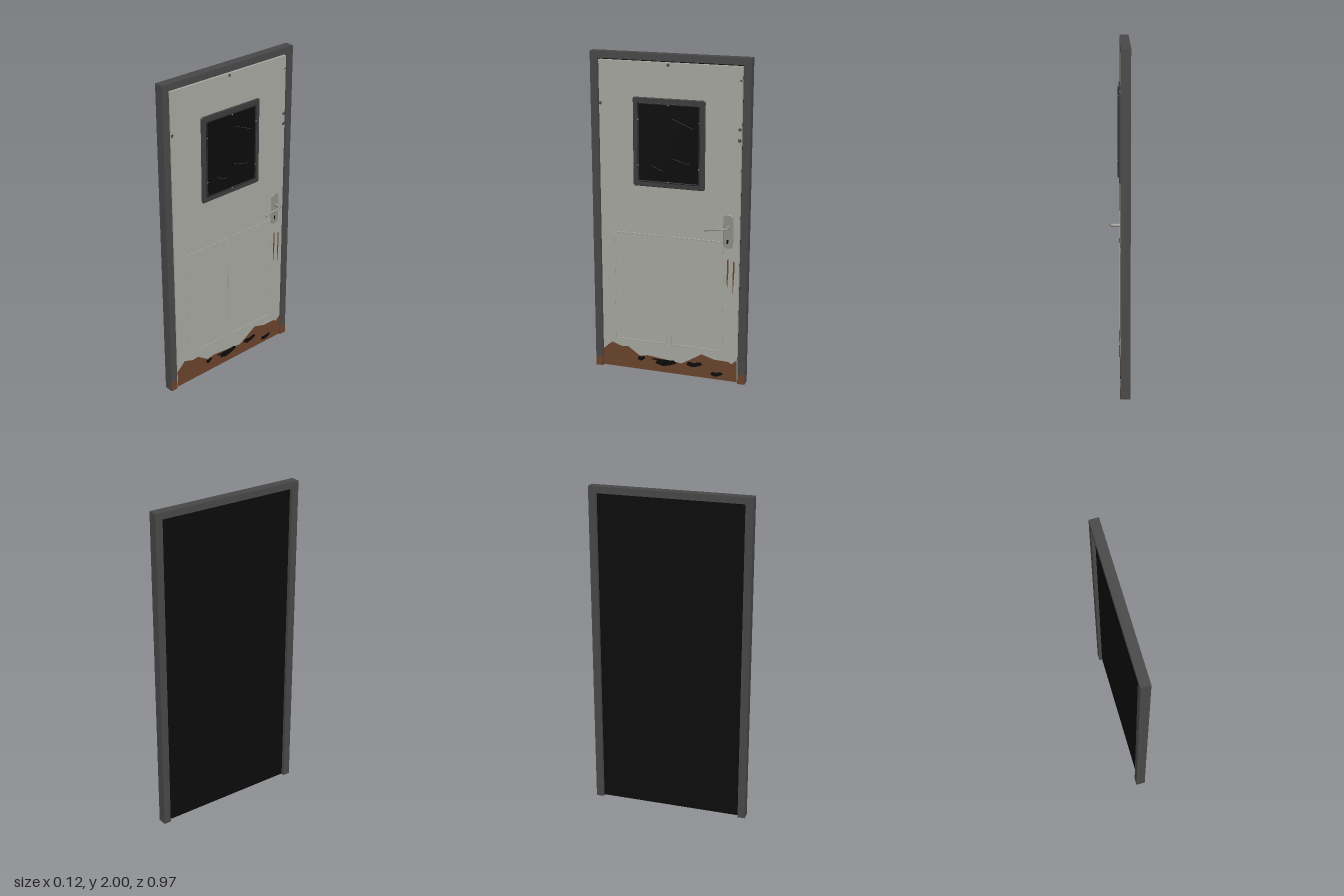
import * as THREE from 'three';

const mat = (name, color) => Object.assign(new THREE.MeshStandardMaterial({ color }), { name });
const M = {
  frame: mat('frame grey', 0x474747),
  leaf: mat('door paint', 0xa5a69f),
  black: mat('black backing', 0x0b0b0b),
  trim: mat('window trim', 0x3c3c3c),
  bead: mat('dark bead', 0x262628),
  rust: mat('rust', 0x69432b),
  metal: mat('handle metal', 0x8e8e88),
  chip: mat('chipped paint', 0x4b4b4b),
};

// Parts are drawn on the door plane: u to the right, y up, d outwards.
export function createModel() {
  const model = new THREE.Group();
  model.name = 'door';
  const door = new THREE.Group();
  door.name = 'doorAssembly';
  door.rotation.y = Math.PI / 2;
  model.add(door);

  const add = (name, geo, material) => {
    const mesh = new THREE.Mesh(geo, material);
    mesh.name = name;
    door.add(mesh);
    return mesh;
  };
  const box = (name, u0, u1, y0, y1, d0, d1, material) =>
    add(name, new THREE.BoxGeometry(u1 - u0, y1 - y0, d1 - d0)
      .translate((u0 + u1) / 2, (y0 + y1) / 2, (d0 + d1) / 2), material);
  const poly = (pts) => new THREE.Shape(pts.map(([u, y]) => new THREE.Vector2(u, y)));
  const slab = (name, shape, d0, d1, material, bevel = 0) =>
    add(name, new THREE.ExtrudeGeometry(shape, {
      depth: d1 - d0 - bevel, curveSegments: 6, bevelEnabled: bevel > 0,
      bevelThickness: bevel, bevelSize: bevel, bevelOffset: -bevel, bevelSegments: 1,
    }).translate(0, 0, d0), material);
  const roundRect = (u0, u1, y0, y1, r, Type = THREE.Shape) => {
    const s = new Type();
    s.moveTo(u0 + r, y0).lineTo(u1 - r, y0);
    s.absarc(u1 - r, y0 + r, r, -Math.PI / 2, 0);
    s.absarc(u1 - r, y1 - r, r, 0, Math.PI / 2);
    s.absarc(u0 + r, y1 - r, r, Math.PI / 2, Math.PI);
    s.absarc(u0 + r, y0 + r, r, Math.PI, Math.PI * 1.5);
    return s;
  };
  const ring = (name, w, y0, y1, t, r, d0, d1, material, bevel, u = 0) => {
    const s = roundRect(u - w, u + w, y0, y1, r);
    s.holes.push(roundRect(u - w + t, u + w - t, y0 + t, y1 - t, r * 0.3, THREE.Path));
    return slab(name, s, d0, d1, material, bevel);
  };
  // Thin strip between two points
  const strip = (name, [ua, ya], [ub, yb], width, d, material) => {
    const m = add(name, new THREE.BoxGeometry(Math.hypot(ub - ua, yb - ya), width, 0.001), material);
    m.position.set((ua + ub) / 2, (ya + yb) / 2, d);
    m.rotation.z = Math.atan2(yb - ya, ub - ua);
  };

  // Surround, black backing and leaf
  slab('doorFrame', poly([[-0.485, 0], [-0.44, 0], [-0.44, 1.96], [0.44, 1.96],
    [0.44, 0], [0.485, 0], [0.485, 2], [-0.485, 2]]), -0.062, -0.005, M.frame);
  box('backing', -0.44, 0.44, 0.002, 1.96, -0.042, -0.032, M.black);
  box('doorLeaf', -0.433, 0.433, 0.01, 1.951, -0.032, -0.007, M.leaf);

  // Faint panel mouldings
  for (const side of [-1, 1])
    ring('panelMoulding', 0.165, 0.2, 0.91, 0.008, 0.002, -0.007, -0.005, M.leaf, 0.001, side * 0.183);

  // Window: outer trim, raised bead and dark glass
  ring('windowTrim', 0.22, 1.21, 1.745, 0.033, 0.012, -0.007, 0.002, M.trim, 0.003);
  ring('windowBead', 0.19, 1.24, 1.715, 0.008, 0.003, -0.006, 0.009, M.bead, 0.002);
  box('windowGlass', -0.184, 0.184, 1.246, 1.709, -0.006, 0.004, M.black);
  for (const [a, b] of [[[0.02, 1.63], [0.15, 1.575]], [[0.02, 1.392], [0.13, 1.363]],
    [[-0.11, 1.345], [-0.04, 1.313]]]) strip('glassScratch', a, b, 0.002, 0.0045, M.chip);
  const screws = [[0, 1.248], [0, 1.707]];
  for (const s of [-1, 1]) screws.push([s * 0.186, 1.34], [s * 0.186, 1.615]);
  for (const [u, y] of screws)
    add('beadScrew', new THREE.CylinderGeometry(0.004, 0.004, 0.002, 8)
      .rotateX(Math.PI / 2).translate(u, y, 0.0095), M.metal);

  // Handle plate, keyhole and bent lever
  slab('handlePlate', roundRect(0.335, 0.397, 0.87, 1.08, 0.03), -0.007, -0.002, M.metal, 0.003);
  box('keyhole', 0.358, 0.368, 0.9, 0.925, -0.003, -0.001, M.black);
  add('handleNeck', new THREE.CylinderGeometry(0.009, 0.011, 0.048, 12)
    .rotateX(Math.PI / 2).translate(0.366, 1.002, 0.02), M.metal);
  const path = new THREE.CatmullRomCurve3([[0.366, 1.002, 0.036], [0.36, 1.002, 0.044],
    [0.34, 1.001, 0.051], [0.325, 1, 0.053], [0.28, 0.996, 0.053], [0.24, 0.99, 0.053]]
    .map((p) => new THREE.Vector3(...p)));
  add('handleLever', new THREE.TubeGeometry(path, 24, 0.0075, 10), M.metal);
  add('leverTip', new THREE.SphereGeometry(0.0075, 10, 8).translate(0.24, 0.99, 0.053), M.metal);

  // Rust along the foot of the leaf and posts
  slab('leafRust', poly([[-0.433, 0.01], [0.433, 0.01], [0.433, 0.155], [0.4, 0.125],
    [0.38, 0.138], [0.29, 0.14], [0.21, 0.165], [0.14, 0.12], [0.08, 0.085], [0.02, 0.093],
    [-0.09, 0.105], [-0.14, 0.11], [-0.19, 0.1], [-0.27, 0.155], [-0.31, 0.15],
    [-0.375, 0.172], [-0.433, 0.12]]), -0.007, -0.0055, M.rust);
  for (const s of [-1, 1]) {
    const pts = [[0.44, 0], [0.485, 0], [0.485, 0.062], [0.465, 0.07], [0.44, 0.05]]
      .map(([u, y]) => [u * s, y]);
    slab('postRust', poly(pts), -0.005, -0.004, M.rust);
  }
  for (const [u, y0, y1] of [[0.366, 0.6, 0.8], [0.402, 0.59, 0.79]])
    slab('rustStreak', poly([[u - 0.002, y0], [u + 0.005, y0 + 0.13], [u + 0.004, y1],
      [u - 0.003, y1], [u - 0.005, y0 + 0.08]]), -0.007, -0.0055, M.rust);

  // Holes rusted through the foot: centre, half width, half height
  for (const [u, y, w, h] of [[-0.18, 0.085, 0.024, 0.018], [-0.02, 0.075, 0.07, 0.024],
    [0.165, 0.09, 0.052, 0.02], [0.308, 0.045, 0.04, 0.018]])
    slab('rustHole', poly([[u - w, y - h * 0.4], [u - w * 0.3, y - h], [u + w * 0.3, y - h * 0.6],
      [u + w, y + h * 0.2], [u + w * 0.7, y + h], [u - w * 0.1, y + h * 0.5],
      [u - w * 0.8, y + h * 0.7]]), -0.006, -0.0045, M.black);
  strip('rustCrack', [-0.11, 0.09], [0.02, 0.092], 0.008, -0.005, M.black);

  // Small paint chips near the edges
  for (const [u, y, r] of [[-0.006, 1.938, 0.011], [-0.424, 1.695, 0.011], [0.426, 1.87, 0.007],
    [0.424, 1.59, 0.011], [0.424, 1.525, 0.012]])
    add('paintChip', new THREE.CircleGeometry(r, 5).translate(u, y, -0.0062), M.chip);

  return model;
}
